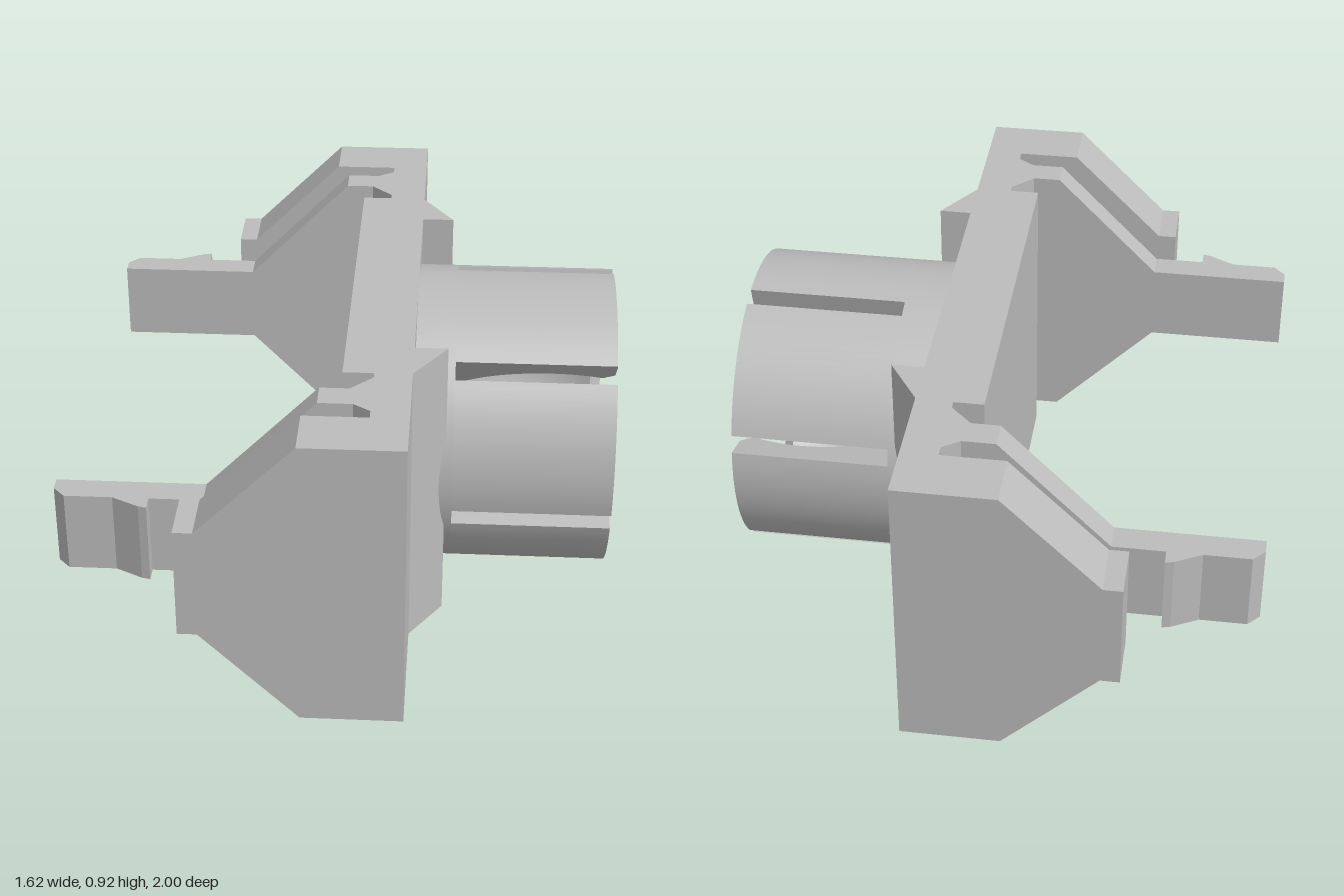
import * as THREE from 'three';
import { toCreasedNormals } from 'three/addons/utils/BufferGeometryUtils.js';

const H = 0.916, MID = H / 2;          // overall height and socket axis height
const R = 0.458;                       // outer radius of the socket
const SLOT = 0.056, SLOT_X = 0.33;     // finger slot width and where the slots end

const polygon = (pts) => new THREE.Shape(pts.map(([x, y]) => new THREE.Vector2(x, y)));

// Outline in x,z raised from y0 to y1
function planExtrude(pts, y0, y1) {
  const g = new THREE.ExtrudeGeometry(polygon(pts.map(([x, z]) => [x, -z])), { depth: y1 - y0, bevelEnabled: false });
  return g.rotateX(-Math.PI / 2).translate(0, y0, 0);
}

// Outline in x,y swept from z0 to z1
function sideExtrude(pts, z0, z1) {
  const g = new THREE.ExtrudeGeometry(polygon(pts), { depth: z1 - z0, bevelEnabled: false });
  return g.translate(0, 0, z0);
}

// Sweeps an (x, r) profile about the socket axis between two slot centre lines;
// each end is a flat wall offset by half the slot width
function sweep(profile, a0, a1, steps, slot, closed) {
  const pos = [];
  const n = profile.length;
  const point = (j, i) => {
    const [x, r] = profile[j % n];
    const d = slot > 0 ? Math.asin(slot / 2 / r) : 0;
    const a = a0 + d + (a1 - a0 - 2 * d) * i / steps;
    return [x, MID + r * Math.sin(a), -r * Math.cos(a)];
  };
  for (let j = 0; j < (closed ? n : n - 1); j++) {
    for (let i = 0; i < steps; i++) {
      const a = point(j, i), b = point(j, i + 1), c = point(j + 1, i + 1), d = point(j + 1, i);
      pos.push(...a, ...b, ...d, ...b, ...c, ...d);
    }
  }
  if (closed) {
    const contour = profile.map(([x, r]) => new THREE.Vector2(x, r));
    for (const face of THREE.ShapeUtils.triangulateShape(contour, [])) {
      const ccw = THREE.ShapeUtils.area(face.map((k) => contour[k])) > 0;
      const [a, b, c] = ccw ? face : [...face].reverse();
      pos.push(...point(c, 0), ...point(b, 0), ...point(a, 0));
      pos.push(...point(a, steps), ...point(b, steps), ...point(c, steps));
    }
  }
  const g = new THREE.BufferGeometry();
  g.setAttribute('position', new THREE.Float32BufferAttribute(pos, 3));
  return toCreasedNormals(g, 0.5);
}

// Points on the spherical cavity, from x0 to x1
function cavity(x0, x1, count) {
  const cx = 0.62, rad = 0.36;
  const t0 = Math.acos((x0 - cx) / rad), t1 = Math.acos(Math.max(-1, (x1 - cx) / rad));
  return Array.from({ length: count + 1 }, (_, i) => {
    const t = t0 + (t1 - t0) * i / count;
    return [cx + rad * Math.cos(t), Math.max(0, rad * Math.sin(t))];
  });
}

export function createModel() {
  const group = new THREE.Group();
  const grey = new THREE.MeshStandardMaterial({ color: 0xbcbcbc });
  const add = (name, geometry) => {
    const mesh = new THREE.Mesh(geometry, grey);
    mesh.name = name;
    group.add(mesh);
  };

  // Bracket: cross plate, roots of the arms and clips, wedge gussets
  const half = [
    [0.01, 0.585], [0.1, 0.585], [0.1, 0.61], [0.035, 0.675], [-0.05, 0.675], [-0.05, 0.76],
    [0.05, 0.76], [0.1, 0.795], [0.1, 0.83], [-0.09, 0.83], [-0.09, 1], [0.21, 1],
    [0.21, 0.58], [0.308, 0.43], [0.21, 0.43],
  ];
  const mirrored = half.map(([x, z]) => [x, -z]).reverse();
  add('bracket', planExtrude([...half, ...mirrored], 0, H));

  // Tapered ends of the outer arms and the spring clips
  const armTaper = [
    [-0.09, 0], [-0.09, H], [-0.378, 0.63], [-0.435, 0.63], [-0.435, H - 0.63], [-0.378, H - 0.63],
  ];
  const clipTaper = [[-0.05, 0], [-0.05, H], [-0.378, 0.582], [-0.378, H - 0.582]];
  const clipPlan = [
    [-0.378, 0.675], [-0.378, 0.76], [-0.535, 0.76], [-0.535, 0.808], [-0.56, 0.802],
    [-0.64, 0.76], [-0.78, 0.76], [-0.815, 0.722], [-0.815, 0.675],
  ];
  for (const [side, s] of [['front', 1], ['back', -1]]) {
    const span = (a, b) => (s > 0 ? [a, b] : [-b, -a]);
    add(side + 'Arm', sideExtrude(armTaper, ...span(0.83, 1)));
    add(side + 'ClipWeb', sideExtrude(clipTaper, ...span(0.675, 0.76)));
    add(side + 'ClipHook', planExtrude(clipPlan.map(([x, z]) => [x, z * s]), H - 0.582, 0.582));
  }

  // Solid base of the socket with the bottom of the round cavity
  const base = [[0.2, R], [SLOT_X, R], ...cavity(SLOT_X, 0.26, 10)];
  add('socketBase', sweep(base, 0, Math.PI * 2, 96, 0, false));

  // Six gripping fingers separated by slots, with a flared mouth
  const finger = [[SLOT_X, R], [0.81, R], [0.81, 0.36], ...cavity(0.775, SLOT_X, 18)];
  for (let k = 0; k < 6; k++) {
    const a = THREE.MathUtils.degToRad(15 + 60 * k);
    add('socketFinger' + (k + 1), sweep(finger, a, a + Math.PI / 3, 16, SLOT, true));
  }
  return group;
}
